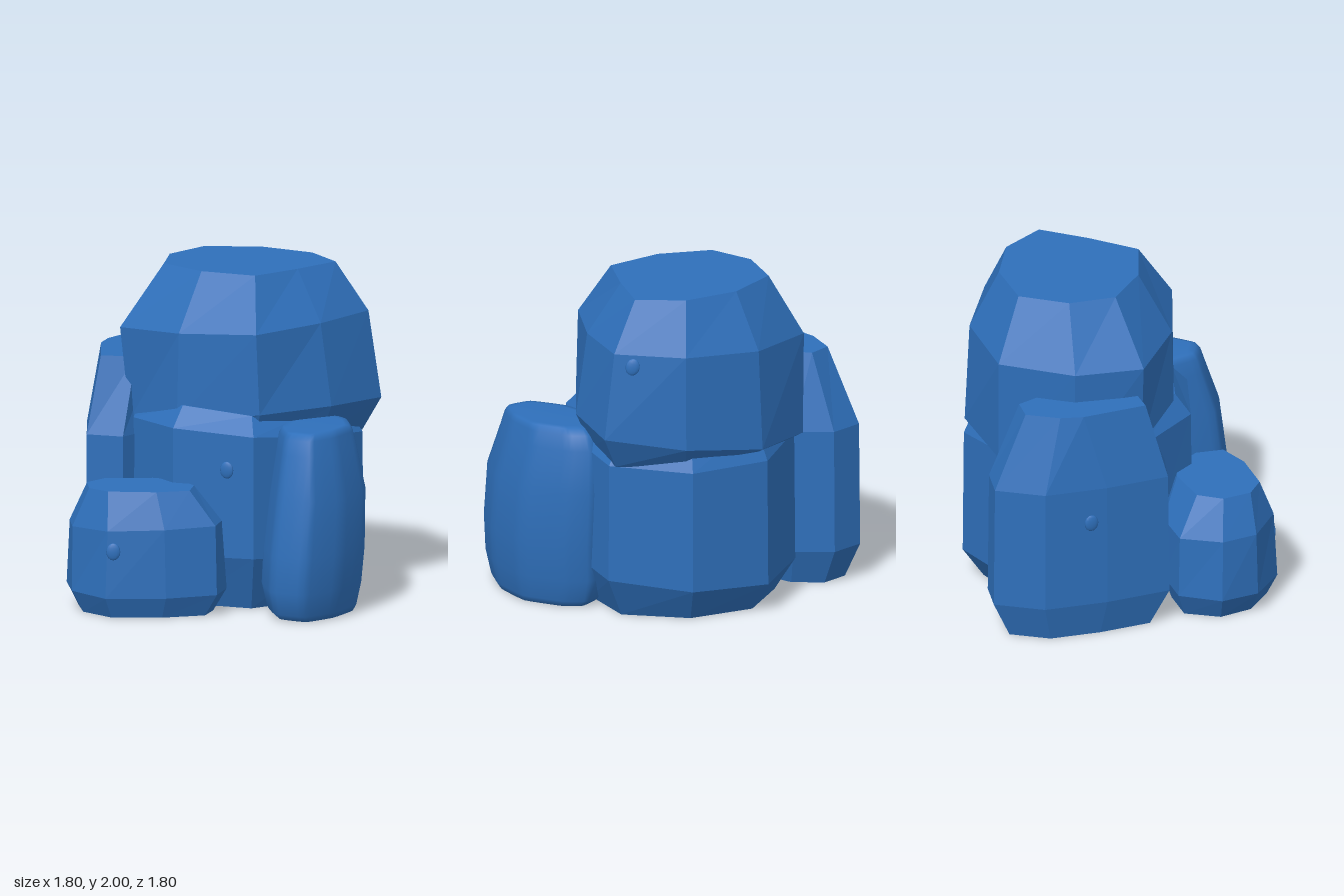
import * as THREE from 'three';

const blueStone = new THREE.MeshStandardMaterial({ color: 0x2e6fba });
blueStone.name = 'blueStone';

// A ring of [x, y, z] points from an outline of [x, z], tilted by height slopes and scaled about its middle
function ring(outline, y, scale = 1, slopeX = 0, slopeZ = 0) {
  const n = outline.length;
  const cx = outline.reduce((s, p) => s + p[0], 0) / n;
  const cz = outline.reduce((s, p) => s + p[1], 0) / n;
  return outline.map(([px, pz]) => {
    const x = cx + (px - cx) * scale, z = cz + (pz - cz) * scale;
    return [x, y + slopeX * x + slopeZ * z, z];
  });
}

// Skin rings (bottom to top, clockwise from above) and cap both ends
function rock(name, rings, smooth = false) {
  const n = rings[0].length, pos = rings.flat(2), index = [];
  const cap = (r) => {
    const c = [0, 1, 2].map((k) => r.reduce((s, p) => s + p[k], 0) / n);
    pos.push(...c);
    return pos.length / 3 - 1;
  };
  const low = cap(rings[0]), high = cap(rings[rings.length - 1]);
  const last = (rings.length - 1) * n;
  for (let i = 0; i < n; i++) {
    const j = (i + 1) % n;
    for (let r = 0; r < rings.length - 1; r++) {
      const a = r * n, b = a + n;
      index.push(a + j, a + i, b + i, a + j, b + i, b + j);
    }
    index.push(low, i, j, high, last + j, last + i);
  }
  let geo = new THREE.BufferGeometry();
  geo.setAttribute('position', new THREE.Float32BufferAttribute(pos, 3));
  geo.setIndex(index);
  if (!smooth) geo = geo.toNonIndexed();
  geo.computeVertexNormals();
  const mesh = new THREE.Mesh(geo, blueStone);
  mesh.name = name;
  return mesh;
}

// Small flattened stud set on a rock's surface where a ray meets it
function stud(mesh, from, dir) {
  const d = new THREE.Vector3(...dir).normalize();
  const hit = new THREE.Raycaster(new THREE.Vector3(...from), d).intersectObject(mesh)[0];
  const s = new THREE.Mesh(new THREE.SphereGeometry(0.045, 12, 8), blueStone);
  s.name = 'stud';
  s.position.copy(hit.point);
  s.quaternion.setFromUnitVectors(new THREE.Vector3(0, 0, 1), hit.face.normal);
  s.scale.set(0.95, 1.15, 0.3);
  return s;
}

export function createModel() {
  const group = new THREE.Group();

  // Large boulder on top
  const topCap = [[-0.4, -0.34], [-0.23, -0.61], [0.12, -0.64], [0.44, -0.51], [0.62, -0.26],
    [0.43, 0], [0.21, 0.25], [-0.13, 0.16], [-0.39, -0.05]];
  const topMid = [[-0.62, -0.36], [-0.37, -0.77], [0.13, -0.82], [0.57, -0.61], [0.82, -0.26],
    [0.59, 0.13], [0.25, 0.47], [-0.24, 0.34], [-0.64, 0.06]];
  const topLow = [[-0.6, -0.36], [-0.36, -0.77], [0.13, -0.85], [0.59, -0.63], [0.9, -0.25],
    [0.66, 0.16], [0.27, 0.47], [-0.25, 0.35], [-0.58, 0.06]];
  const topBoulder = rock('topBoulder', [ring(topLow, 0.98, 0.86), ring(topLow, 1.115, 1, 0.1, 0.1),
    ring(topMid, 1.66, 1, 0.06, 0.01), ring(topCap, 2)]);

  // Main boulder standing below it
  const mainOuter = [[-0.58, -0.35], [-0.35, -0.72], [0.1, -0.87], [0.55, -0.65], [0.8, -0.2],
    [0.62, 0.22], [0.25, 0.57], [-0.26, 0.46], [-0.56, 0.1]];
  const mainBoulder = rock('mainBoulder', [ring(mainOuter, 0, 0.82), ring(mainOuter, 0.27, 1, 0, 0.1),
    ring(mainOuter, 1.04, 0.99, -0.06, 0.08), ring(mainOuter, 1.2, 0.85, -0.08)]);

  // Tall slab behind on the right
  const slabCap = [[-0.82, -0.36], [-0.8, -0.5], [-0.7, -0.69], [-0.55, -0.69], [-0.46, -0.5],
    [-0.46, -0.2], [-0.55, 0.02], [-0.76, 0.04]];
  const slabOuter = [[-0.89, -0.23], [-0.9, -0.62], [-0.75, -0.9], [-0.53, -0.88], [-0.38, -0.68],
    [-0.36, -0.2], [-0.6, 0.21], [-0.83, 0.17]];
  const backSlab = rock('backSlab', [ring(slabOuter, 0, 0.8), ring(slabOuter, 0.22),
    ring(slabOuter, 0.98, 0.985), ring(slabCap, 1.44)]);

  // Low boulder in front
  const lowCap = [[-0.77, 0.52], [-0.68, 0.38], [-0.4, 0.33], [-0.24, 0.37], [-0.12, 0.52],
    [-0.12, 0.69], [-0.31, 0.77], [-0.6, 0.79], [-0.73, 0.7]];
  const lowMid = [[-0.88, 0.49], [-0.77, 0.25], [-0.5, 0.22], [-0.15, 0.29], [0.05, 0.53],
    [0.04, 0.71], [-0.25, 0.84], [-0.59, 0.88], [-0.83, 0.71]];
  const lowOuter = [[-0.9, 0.48], [-0.78, 0.24], [-0.5, 0.22], [-0.14, 0.29], [0.08, 0.53],
    [0.05, 0.72], [-0.24, 0.85], [-0.6, 0.9], [-0.83, 0.72]];
  const lowBoulder = rock('lowBoulder', [ring(lowOuter, 0, 0.84), ring(lowOuter, 0.16, 1, 0, -0.04),
    ring(lowMid, 0.55, 1, 0.03), ring(lowCap, 0.76)]);

  // Worn, rounded stone in front on the left: one outline fitted to a box at each height
  const plan = [[0.88, 0.14], [1, 0.46], [0.83, 0.78], [0.53, 1], [0.17, 0.91], [0, 0.57],
    [0.05, 0.25], [0.3, 0.03], [0.7, 0]];
  const curve = new THREE.CatmullRomCurve3(plan.map(([x, z]) => new THREE.Vector3(x, 0, z)), true, 'catmullrom', 0.18);
  const loop = curve.getPoints(36).slice(0, 36);
  const levels = [ // y, x from, x to, z from, z to
    [0, 0.42, 0.79, 0.14, 0.76], [0.003, 0.36, 0.83, 0.08, 0.82], [0.04, 0.32, 0.85, 0.04, 0.86],
    [0.18, 0.29, 0.88, 0, 0.9], [0.4, 0.3, 0.9, -0.01, 0.9], [0.74, 0.335, 0.9, -0.03, 0.86],
    [1.0, 0.37, 0.84, 0, 0.77], [1.09, 0.385, 0.82, 0.04, 0.74], [1.125, 0.41, 0.8, 0.09, 0.71],
    [1.13, 0.45, 0.77, 0.15, 0.67]];
  const wornStone = rock('wornStone', levels.map(([y, x0, x1, z0, z1]) =>
    loop.map((p) => [x0 + p.x * (x1 - x0), y, z0 + p.z * (z1 - z0)])), true);

  group.add(topBoulder, mainBoulder, backSlab, lowBoulder, wornStone);

  // Studs
  group.add(
    stud(topBoulder, [3, 1.63, -0.355], [-1, 0, 0]),
    stud(mainBoulder, [0.08, 0.86, 3], [0, 0, -1]),
    stud(lowBoulder, [-0.555, 0.41, 3], [0, 0, -1]),
    stud(backSlab, [-3, 0.76, -0.33], [1, 0, 0]));
  return group;
}
